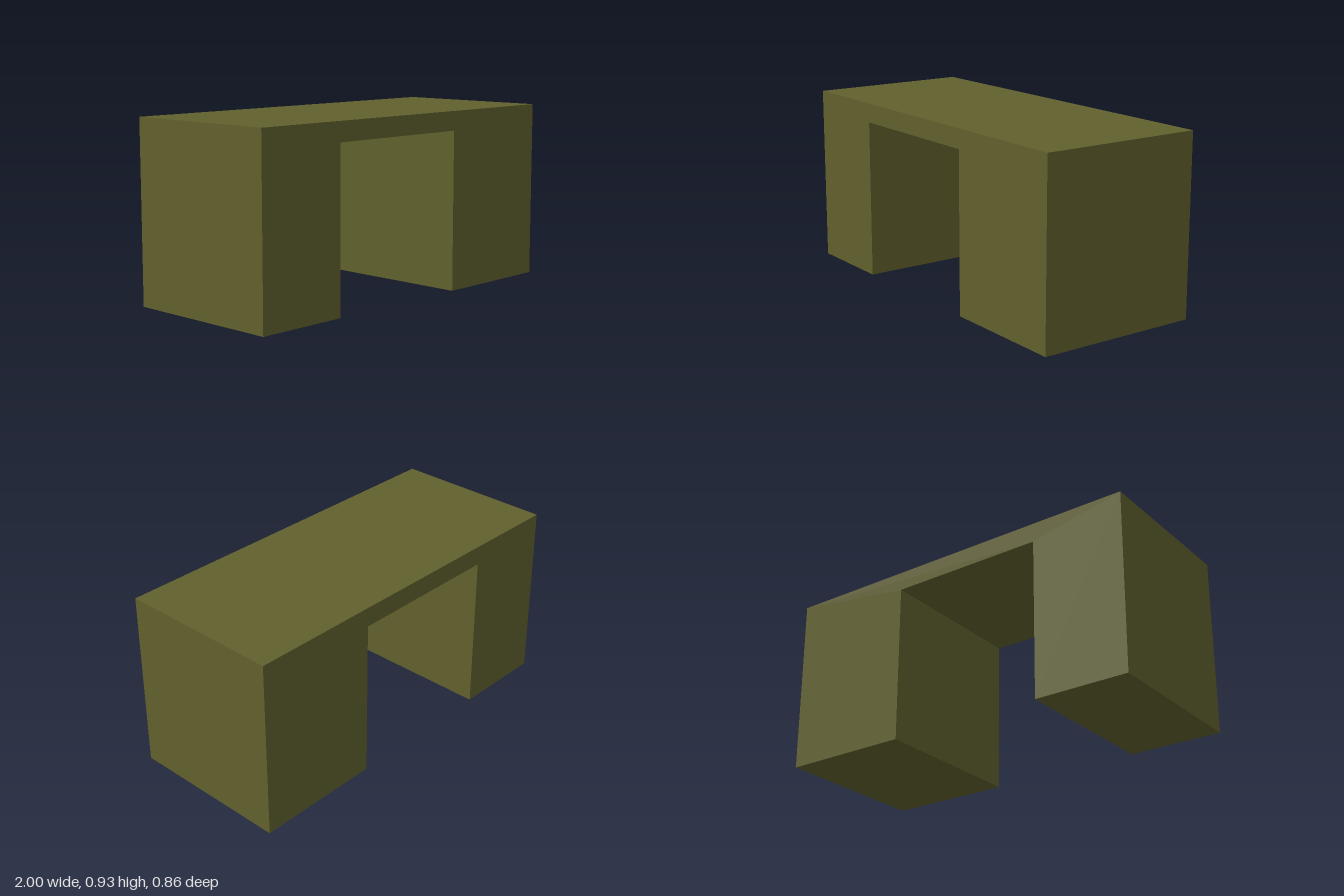
import * as THREE from 'three';

export function createModel() {
  const model = new THREE.Group();
  model.name = 'desk';
  const olive = new THREE.MeshStandardMaterial({ color: 0x60602d });
  olive.name = 'olive';

  const height = 0.93, depth = 0.86, underside = 0.83;
  const kneeRight = -0.505, kneeLeft = 0.325;

  // One continuous body: thin top, narrow right pedestal, wide left pedestal
  const outline = new THREE.Shape([
    [-1, 0], [kneeRight, 0], [kneeRight, underside], [kneeLeft, underside],
    [kneeLeft, 0], [1, 0], [1, height], [-1, height],
  ].map(([x, y]) => new THREE.Vector2(x, y)));

  const geometry = new THREE.ExtrudeGeometry(outline, { depth, bevelEnabled: false });
  geometry.translate(0, 0, -depth / 2);

  const body = new THREE.Mesh(geometry, olive);
  body.name = 'deskBody';
  model.add(body);
  return model;
}
